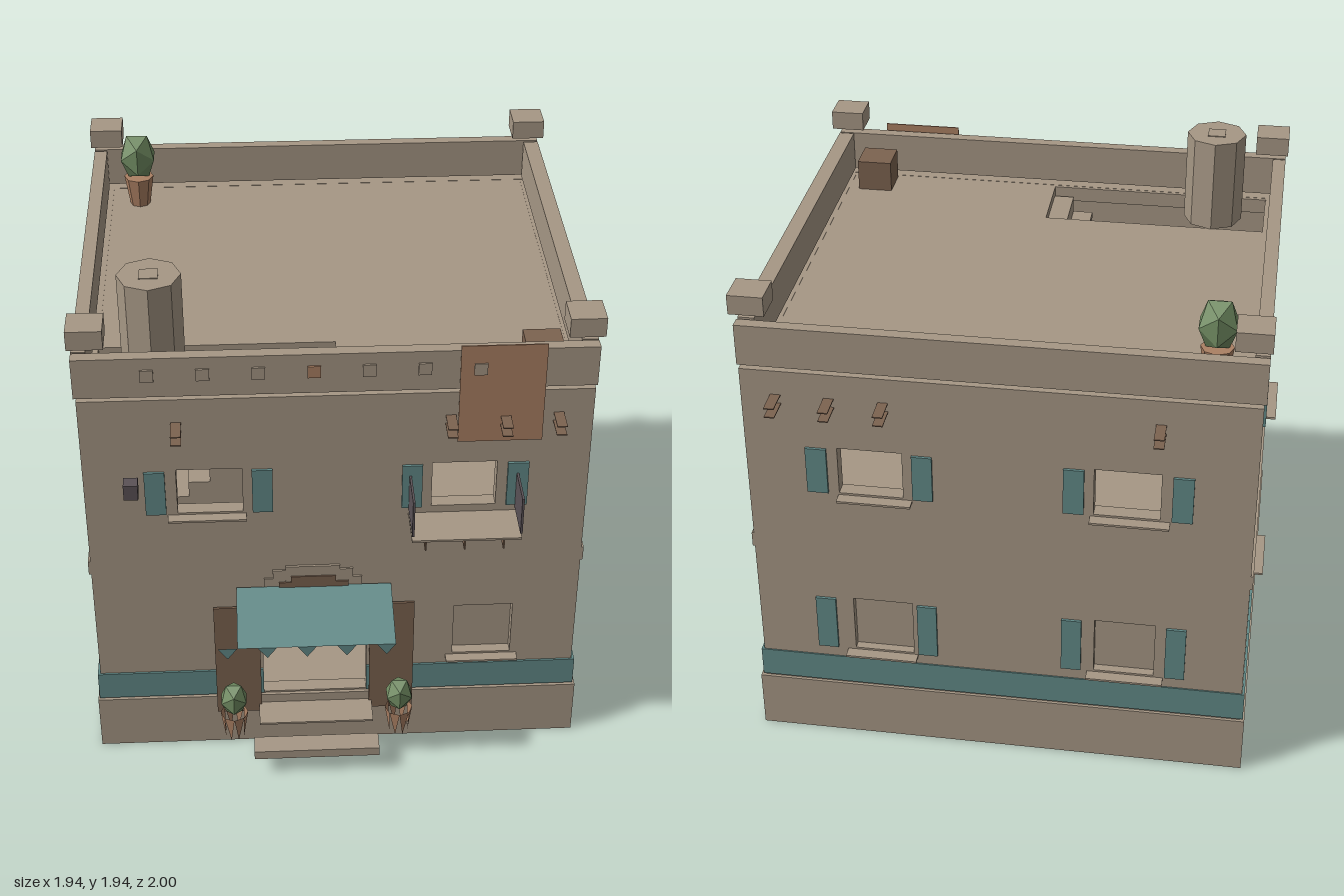
import * as THREE from 'three';

const mat = (name, color, o = {}) => {
  const m = new THREE.MeshStandardMaterial({ color, flatShading: true, ...o });
  m.name = name;
  return m;
};

export function createModel() {
  const root = new THREE.Group();
  root.name = 'courtyardHouse';
  const D = { side: THREE.DoubleSide };
  const plaster = mat('plaster', 0xa69785, D);
  const teal = mat('tealPaint', 0x628a88, D);
  const wood = mat('wood', 0x7c6350, D);
  const clay = mat('terracotta', 0xab8063, D);
  const leaf = mat('foliage', 0x718c62);
  const iron = mat('iron', 0x5a5256, D);

  const add = (name, geo, m, parent = root) => {
    const mesh = new THREE.Mesh(geo, m);
    mesh.name = name;
    parent.add(mesh);
    return mesh;
  };
  // Box given by its limits on each axis
  const box = (name, m, x0, x1, y0, y1, z0, z1) => {
    const b = add(name, new THREE.BoxGeometry(x1 - x0, y1 - y0, z1 - z0), m);
    b.position.set((x0 + x1) / 2, (y0 + y1) / 2, (z0 + z1) / 2);
    return b;
  };
  const rect = (C, a, b, y0, y1) => {
    const s = new C();
    s.moveTo(a, y0); s.lineTo(b, y0); s.lineTo(b, y1); s.lineTo(a, y1); s.closePath();
    return s;
  };
  // Panel with rectangular holes, extruded along its normal
  const panel = (name, outer, holes, depth) => {
    const s = rect(THREE.Shape, ...outer);
    holes.forEach(h => s.holes.push(rect(THREE.Path, ...h)));
    return add(name, new THREE.ExtrudeGeometry(s, { depth, bevelEnabled: false }), plaster);
  };

  // Plinth
  box('plinth', plaster, -0.943, 0.885, 0, 0.228, -0.918, 0.743);

  // Front and back walls
  const upper = [[-0.6, -0.367, 1.1, 1.288], [0.307, 0.537, 1.1, 1.288]];
  const frontLow = [0.406, 0.625, 0.4, 0.63];
  const backLow = [[-0.6, -0.38, 0.4, 0.63], [0.29, 0.51, 0.4, 0.63]];
  panel('frontWall', [-0.927, 0.865, 0.228, 1.585],
    [...upper, frontLow, [-0.31, 0.08, 0.235, 0.75]], 0.055).position.z = 0.675;
  panel('backWall', [-0.927, 0.865, 0.228, 1.585], [...upper, ...backLow], 0.055).position.z = -0.907;

  // Side walls, drawn along -z and turned outward
  const sideHoles = [[-0.02, 0.193, 1.12, 1.31], [-0.02, 0.193, 0.39, 0.583]];
  for (const [name, x] of [['leftWall', 0.805], ['rightWall', -0.927]]) {
    const w = panel(name, [-0.65, 0.84, 0.228, 1.585], sideHoles, 0.06);
    w.rotation.y = Math.PI / 2;
    w.position.x = x;
  }

  // Screens closing the ground-floor windows
  box('frontScreen', plaster, 0.4, 0.63, 0.395, 0.635, 0.682, 0.69);
  backLow.forEach(([a, b, c, d]) => box('backScreen', plaster, a, b, c, d, -0.875, -0.867));

  // Upper floor and roof, with a stairwell through the roof
  box('upperFloor', plaster, -0.936, 0.874, 0.83, 0.888, -0.905, 0.728);
  const roof = panel('roof', [-0.925, 0.863, -0.728, 0.905], [[-0.87, -0.02, -0.66, -0.38]], 0.058);
  roof.rotation.x = -Math.PI / 2;
  roof.position.y = 1.526;

  // Stairs
  for (let i = 0; i < 11; i++) {
    const x = -0.87 + i * 0.0773;
    box('stair', plaster, x, x + 0.0773, 0.888, 0.92 + i * 0.063, 0.38, 0.645);
  }

  // Parapet and corner caps
  box('frontParapet', plaster, -0.935, 0.87, 1.6, 1.755, 0.687, 0.732);
  box('backParapet', plaster, -0.935, 0.87, 1.6, 1.755, -0.907, -0.863);
  box('leftParapet', plaster, 0.812, 0.87, 1.6, 1.755, -0.85, 0.68);
  box('rightParapet', plaster, -0.935, -0.885, 1.6, 1.755, -0.85, 0.68);
  for (const x of [-0.943, 0.757]) for (const z of [-0.913, 0.618])
    box('cornerCap', plaster, x, x + 0.125, 1.8, 1.872, z, z + 0.122);

  // Small square tiles along the front parapet
  for (let i = 0; i < 7; i++) {
    const x = -0.68 + i * 0.19;
    box('parapetTile', i === 3 ? clay : plaster, x - 0.023, x + 0.023, 1.664, 1.71, 0.732, i === 6 ? 0.75 : 0.739);
  }

  // Painted band
  box('bandFrontRight', teal, -0.937, -0.31, 0.235, 0.352, 0.73, 0.738);
  box('bandFrontLeft', teal, 0.08, 0.876, 0.235, 0.352, 0.73, 0.738);
  box('bandBack', teal, -0.937, 0.876, 0.235, 0.352, -0.912, -0.905);
  box('bandLeft', teal, 0.867, 0.876, 0.235, 0.352, -0.912, 0.738);
  box('bandRight', teal, -0.937, -0.928, 0.235, 0.352, -0.912, 0.738);

  // Shutters
  const pairs = [[-0.713, -0.64], [-0.333, -0.26], [0.2, 0.272], [0.575, 0.65]];
  for (const [a, b] of pairs) {
    box('frontShutter', teal, a, b, 1.1, 1.283, 0.73, 0.74);
    box('backShutter', teal, a, b, 1.1, 1.283, -0.917, -0.907);
    box('backLowShutter', teal, a, b, 0.4, 0.625, -0.917, -0.907);
  }
  for (const y of [1.128, 0.4]) for (const z of [0.048, -0.305]) {
    box('leftShutter', teal, 0.865, 0.875, y, y + 0.18, z, z + 0.08);
    box('rightShutter', teal, -0.937, -0.927, y, y + 0.18, z, z + 0.08);
  }

  // Thin window sills
  box('frontSill', plaster, -0.635, -0.355, 1.084, 1.092, 0.68, 0.77);
  box('frontLowSill', plaster, 0.38, 0.65, 0.384, 0.392, 0.68, 0.77);
  for (const y of [1.084, 0.384]) {
    box('backSill', plaster, -0.635, -0.355, y, y + 0.008, -0.95, -0.86);
    box('backSill', plaster, 0.275, 0.54, y, y + 0.008, -0.95, -0.86);
  }
  for (const y of [1.11, 0.38]) {
    box('leftSill', plaster, 0.81, 0.907, y, y + 0.008, -0.22, 0.035);
    box('rightSill', plaster, -0.972, -0.87, y, y + 0.008, -0.22, 0.035);
  }

  // Roof beam ends, each a pair of boards
  for (const x of [-0.59, 0.365, 0.555, 0.742]) for (const y of [1.453, 1.487]) {
    box('frontBeam', wood, x - 0.018, x + 0.018, y, y + 0.004, 0.72, 0.82);
    box('backBeam', wood, x - 0.018, x + 0.018, y, y + 0.004, -1, -0.9);
  }

  // Balcony
  box('balconyFloor', plaster, 0.225, 0.615, 1.062, 1.07, 0.73, 0.895);
  for (const x of [0.225, 0.607]) box('balconyRail', iron, x, x + 0.008, 1.09, 1.24, 0.735, 0.898);
  for (const x of [0.28, 0.42, 0.56]) box('balconyBracket', wood, x - 0.003, x + 0.003, 0.985, 1.05, 0.735, 0.845);

  // Doorway: open leaves, stepped surround, steps
  box('doorLeafRight', wood, -0.49, -0.32, 0.157, 0.67, 0.744, 0.753);
  box('doorLeafLeft', wood, 0.09, 0.256, 0.157, 0.67, 0.744, 0.753);
  [[0.18, 0.79], [0.147, 0.828], [0.1, 0.845]].forEach(([w, y], i) =>
    box('doorSurround', plaster, -0.12 - w, -0.12 + w, 0.75, y, 0.728, 0.737 + i * 0.001));
  box('doorLintel', wood, -0.245, 0.01, 0.75, 0.776, 0.736, 0.744);
  box('doorLintelTop', wood, -0.2, -0.035, 0.776, 0.802, 0.736, 0.744);
  box('lowerStep', plaster, -0.353, 0.12, 0.078, 0.115, 0.855, 0.936);
  box('upperStep', plaster, -0.33, 0.1, 0.182, 0.19, 0.74, 0.86);

  // Awning with triangular fringe
  const awning = add('awning', new THREE.PlaneGeometry(0.57, Math.hypot(0.26, 0.07)), teal);
  awning.position.set(-0.117, 0.72, 0.868);
  awning.rotation.x = -Math.atan2(0.26, 0.07);
  for (let i = 0; i < 5; i++) {
    const s = new THREE.Shape();
    s.moveTo(-0.035, 0); s.lineTo(0, -0.048); s.lineTo(0.035, 0); s.closePath();
    add('awningFringe', new THREE.ShapeGeometry(s), teal).position.set(-0.4375 + i * 0.143, 0.684, 0.996);
  }

  // Hanging cloth, lantern, wall unit and plaque
  box('hangingCloth', clay, 0.39, 0.687, 1.387, 1.78, 0.741, 0.746);
  box('lantern', iron, -0.777, -0.727, 1.262, 1.322, 0.815, 0.865);
  box('wallUnit', plaster, 0.88, 0.966, 1.31, 1.41, -0.532, -0.36);
  box('plaque', teal, -0.936, -0.927, 0.55, 0.67, 0.25, 0.49);

  // Water tank and chest on the roof
  const tank = add('waterTank', new THREE.CylinderGeometry(0.112, 0.112, 0.355, 8), plaster);
  tank.position.set(-0.667, 1.7625, 0.483);
  box('tankHatch', plaster, -0.7, -0.634, 1.938, 1.943, 0.45, 0.516);
  box('roofChest', wood, 0.63, 0.763, 1.585, 1.705, 0.525, 0.66);

  // Potted plants
  const plant = (x, y, z, r, potH) => {
    const g = new THREE.Group();
    g.name = 'pottedPlant';
    g.position.set(x, y, z);
    root.add(g);
    const crown = add('crown', new THREE.IcosahedronGeometry(r, 0), leaf, g);
    crown.scale.y = 1.35;
    crown.position.y = potH + r * 1.25;
    return g;
  };
  const roofPlant = plant(-0.755, 1.585, -0.725, 0.077, 0.11);
  add('pot', new THREE.CylinderGeometry(0.058, 0.04, 0.12, 8), clay, roofPlant).position.y = 0.06;

  // Door pots taper to separate points around the rim
  const v = [];
  const N = 8, R = 0.052;
  for (let i = 0; i < N; i++) {
    const a = i / N * 2 * Math.PI, b = (i + 1) / N * 2 * Math.PI, c = (a + b) / 2;
    v.push(R * Math.cos(a), 0.115, R * Math.sin(a), R * Math.cos(b), 0.115, R * Math.sin(b),
      0.036 * Math.cos(c), 0, 0.036 * Math.sin(c));
  }
  const spikes = new THREE.BufferGeometry();
  spikes.setAttribute('position', new THREE.Float32BufferAttribute(v, 3));
  spikes.computeVertexNormals();
  for (const x of [-0.425, 0.198]) add('pot', spikes, clay, plant(x, 0.115, 0.833, 0.055, 0.112));

  return root;
}
